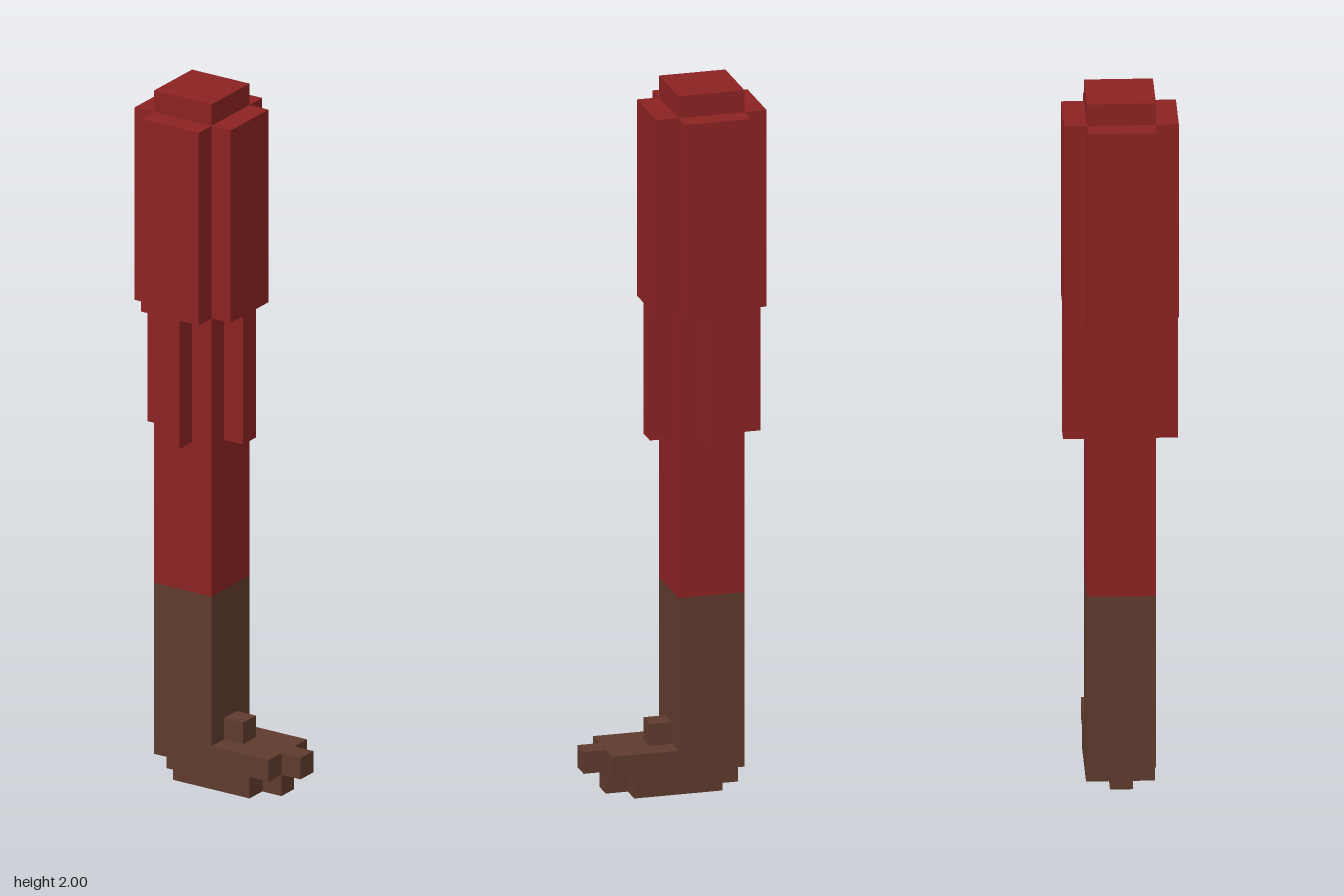
import * as THREE from 'three';

const U = 0.0625; // one block unit

export function createModel() {
  const red = new THREE.MeshStandardMaterial({ color: 0x8b2222 });
  red.name = 'red';
  const brown = new THREE.MeshStandardMaterial({ color: 0x5f3b2e });
  brown.name = 'brown';

  const model = new THREE.Group();
  model.name = 'leg';

  // Box from min and max corners in block units
  function block(name, material, min, max, parent = model) {
    const size = max.map((v, i) => (v - min[i]) * U);
    const mesh = new THREE.Mesh(new THREE.BoxGeometry(...size), material);
    mesh.position.set(...max.map((v, i) => ((v + min[i]) / 2) * U));
    mesh.name = name;
    parent.add(mesh);
  }

  // Leg column: red trouser above, brown boot below
  block('trouserColumn', red, [-3, 9, -1.5], [0, 32, 1.5]);
  block('bootShaft', brown, [-3, 2, -1.5], [0, 9, 1.5]);

  // Thigh panel and hanging strip on each of the four sides
  for (let i = 0; i < 4; i++) {
    const side = new THREE.Group();
    side.name = 'thighSide' + (i + 1);
    side.position.x = -1.5 * U;
    side.rotation.y = (i * Math.PI) / 2;
    block('thighPanel', red, [-1.5, 22, 1.5], [1.5, 31, 2.5], side);
    block('thighStrip', red, [-0.5, 16, 1.5], [0.5, 22, 2.5], side);
    model.add(side);
  }

  // Foot with a sole notched at its corners
  block('foot', brown, [-3, 1, -1.5], [3, 2, 1.5]);
  block('sole', brown, [-2, 0, -1.5], [2, 1, 1.5]);
  block('heel', brown, [-3, 0, -0.5], [-2, 1, 0.5]);
  block('soleToe', brown, [2, 0, -0.5], [3, 1, 0.5]);
  block('toeTip', brown, [3, 1, -0.5], [4, 2, 0.5]);
  block('instep', brown, [0, 2, -0.5], [1, 3, 0.5]);

  return model;
}
